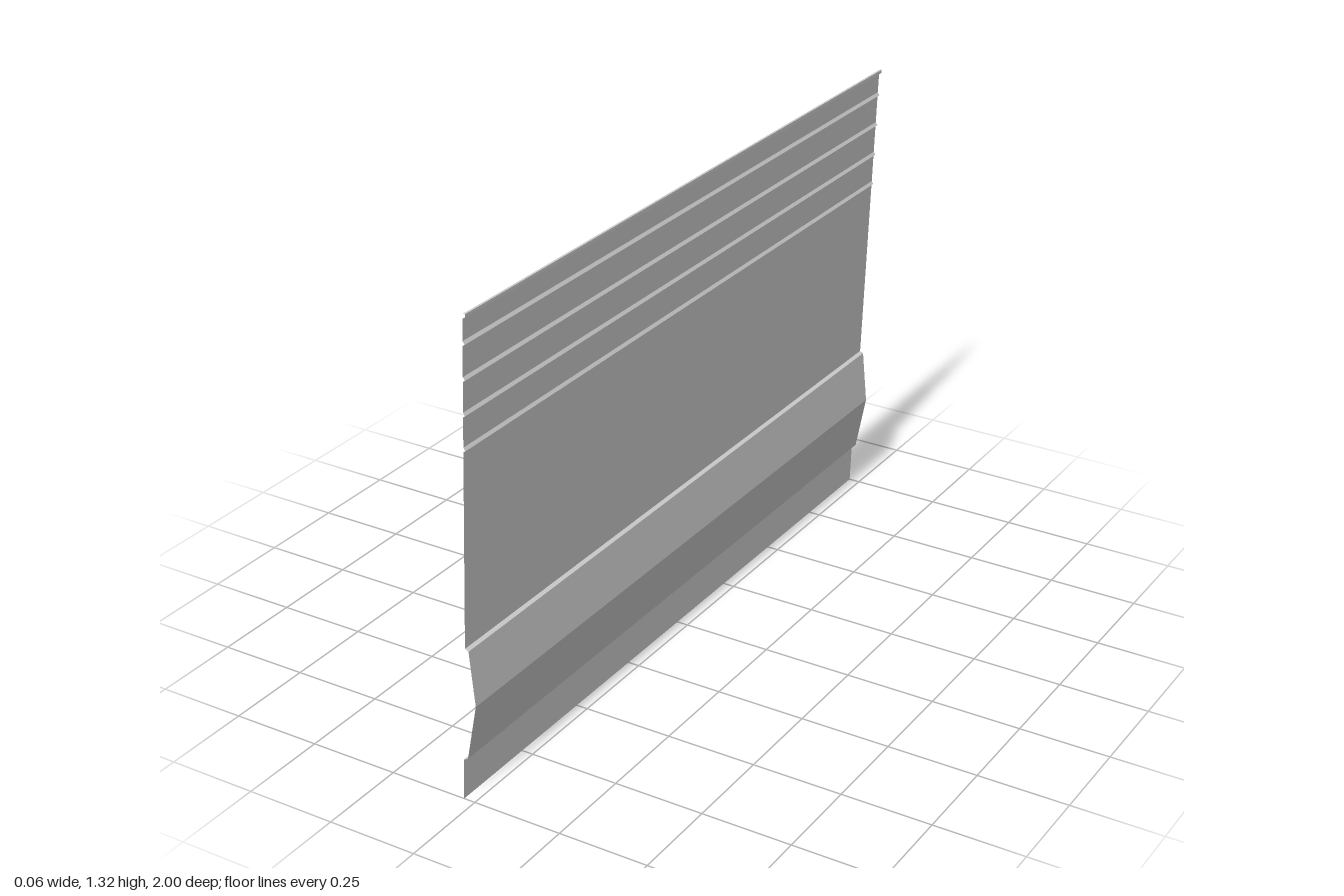
import * as THREE from 'three';

const material = new THREE.MeshStandardMaterial({ color: 0xcccccc, flatShading: true, side: THREE.DoubleSide });

// Thin sheet: an open (x, y) profile swept along z
function sweepSheet(profile, halfLength) {
  const positions = [];
  for (let i = 0; i < profile.length - 1; i++) {
    const [x0, y0] = profile[i], [x1, y1] = profile[i + 1];
    const a = [x0, y0, halfLength], b = [x0, y0, -halfLength];
    const c = [x1, y1, -halfLength], d = [x1, y1, halfLength];
    positions.push(...a, ...b, ...c, ...a, ...c, ...d);
  }
  const geometry = new THREE.BufferGeometry();
  geometry.setAttribute('position', new THREE.Float32BufferAttribute(positions, 3));
  geometry.computeVertexNormals();
  return geometry;
}

function add(parent, name, geometry) {
  const mesh = new THREE.Mesh(geometry, material);
  mesh.name = name;
  parent.add(mesh);
  return mesh;
}

export function createModel() {
  const model = new THREE.Group();
  model.name = 'sidingPanel';

  // Lower lip and the bulging nose
  const lip = [[-0.032, 0], [-0.028, 0.115], [-0.015, 0.122]];
  const nose = [[-0.015, 0.122], [0.015, 0.28], [0.0, 0.43], [-0.01, 0.435]];

  // Upper sheet leans slightly and carries four small beads
  const lean = (y) => -0.01 + (y - 0.435) * 0.037;
  const face = [[-0.01, 0.435]];
  for (const y of [0.965, 1.055, 1.145, 1.235]) {
    face.push([lean(y), y], [lean(y) + 0.006, y + 0.004], [lean(y + 0.012), y + 0.012]);
  }
  face.push([lean(1.303), 1.303]);

  // Folded top edge
  const hem = [[lean(1.303), 1.303], [0.03, 1.306], [0.03, 1.315], [0.024, 1.315]];

  add(model, 'lowerLip', sweepSheet(lip, 1));
  add(model, 'nose', sweepSheet(nose, 1));
  add(model, 'upperSheet', sweepSheet(face, 1));
  add(model, 'topHem', sweepSheet(hem, 1));

  // Bracket: two ribs filling the hollow behind the nose, joined by a foot
  const bracket = new THREE.Group();
  bracket.name = 'bracket';
  const ribShape = new THREE.Shape([
    [-0.035, 0.10], [-0.029, 0.10], [-0.028, 0.116], [-0.015, 0.122],
    [0.015, 0.28], [0.0, 0.43], [-0.01, 0.435],
  ].map(([x, y]) => new THREE.Vector2(x, y)));
  const thickness = 0.008;
  for (const side of [-1, 1]) {
    const rib = add(bracket, side > 0 ? 'frontRib' : 'backRib',
      new THREE.ExtrudeGeometry(ribShape, { depth: thickness, bevelEnabled: false }));
    rib.position.z = side * 0.054 - thickness / 2;
  }
  const foot = add(bracket, 'foot', new THREE.BoxGeometry(0.005, 0.018, 0.116));
  foot.position.set(-0.032, 0.109, 0);
  model.add(bracket);

  return model;
}
